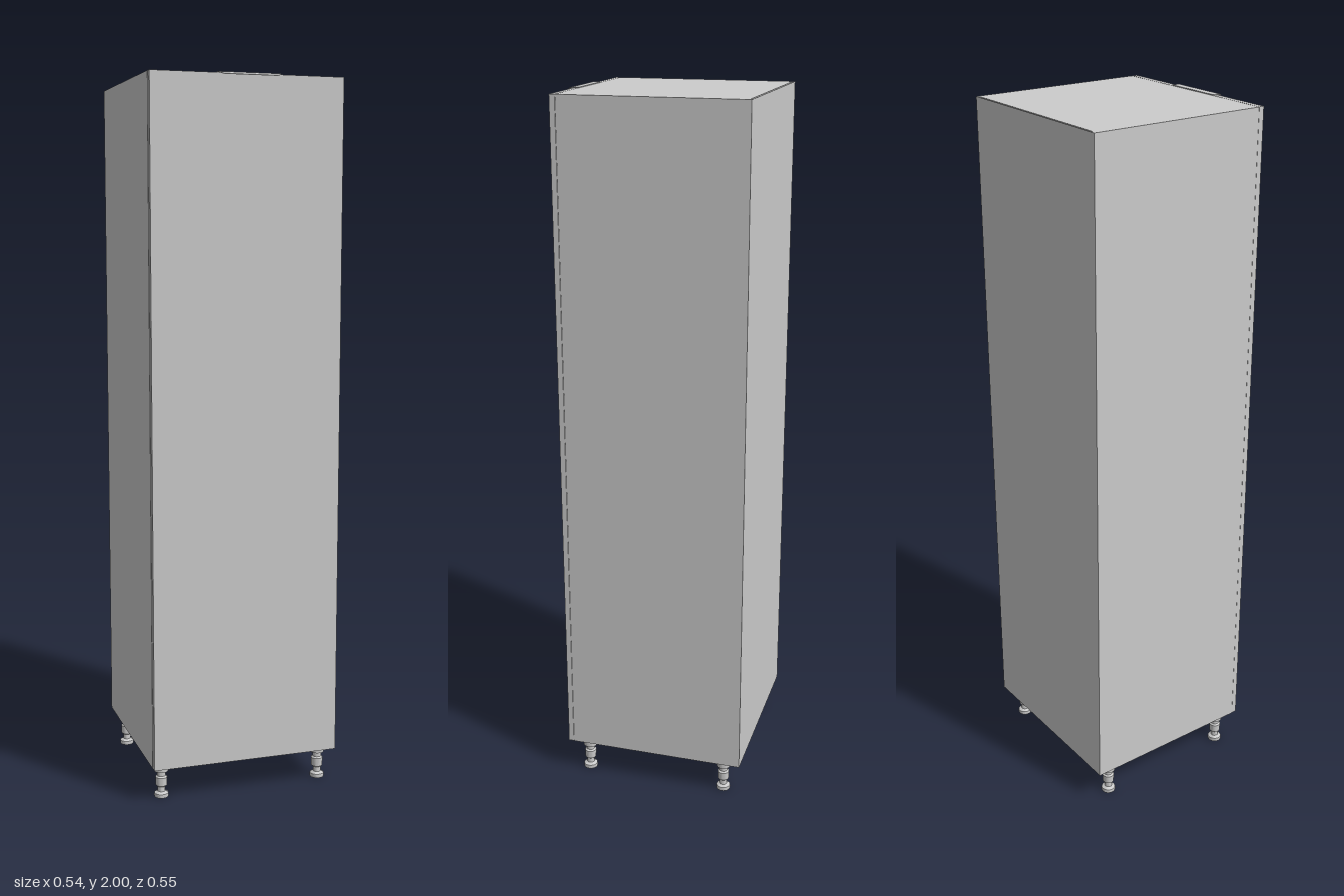
import * as THREE from 'three';
import { toCreasedNormals } from 'three/addons/utils/BufferGeometryUtils.js';

const W = 0.272, BACK = -0.275, BASE = 0.1, TOP = 1.998, T = 0.014;
const CARCASS_FRONT = 0.2365, DOOR_BACK = 0.238, DOOR_FRONT = 0.253;

export function createModel() {
  const group = new THREE.Group();
  const material = new THREE.MeshStandardMaterial({ color: 0xcccccc });

  const add = (name, geometry, parent = group) => {
    const mesh = new THREE.Mesh(geometry, material);
    mesh.name = name;
    parent.add(mesh);
    return mesh;
  };
  // Box given by its minimum and maximum corners
  const box = (name, x0, x1, y0, y1, z0, z1) =>
    add(name, new THREE.BoxGeometry(x1 - x0, y1 - y0, z1 - z0)
      .translate((x0 + x1) / 2, (y0 + y1) / 2, (z0 + z1) / 2));

  // Top and bottom boards with a narrow round-ended slot along the back
  const board = (name, y) => {
    const shape = new THREE.Shape();
    shape.moveTo(-W, -CARCASS_FRONT).lineTo(W, -CARCASS_FRONT).lineTo(W, -BACK).lineTo(-W, -BACK).closePath();
    const slot = new THREE.Path(), r = 0.0025, x = 0.2555, c = 0.2712;
    slot.absarc(x, c, r, Math.PI / 2, -Math.PI / 2, true);
    slot.absarc(-x, c, r, -Math.PI / 2, -Math.PI * 1.5, true);
    slot.closePath();
    shape.holes.push(slot);
    const geometry = new THREE.ExtrudeGeometry(shape, { depth: T, bevelEnabled: false, curveSegments: 6 });
    add(name, geometry.rotateX(-Math.PI / 2).translate(0, y, 0));
  };
  board('topPanel', TOP - T);
  board('bottomPanel', BASE);

  // Side panels, back panel and door
  box('rightSidePanel', -W, -W + T, BASE + T, TOP - T, BACK, CARCASS_FRONT);
  box('leftSidePanel', W - T, W, BASE + T, TOP - T, BACK, CARCASS_FRONT);
  box('backPanel', -W + T, W - T, BASE + T, TOP - T, BACK, BACK + 0.007);
  box('backPanelTongue', -0.2555, 0.2555, BASE + 0.003, TOP - 0.003, -0.2735, -0.269);
  box('door', -W + 0.001, W - 0.001, BASE, TOP, DOOR_BACK, DOOR_FRONT);

  // Edge pull: a thin plate on the door top, rounded at the corners, rolled down in front
  const plate = new THREE.BoxGeometry(2, 0.002, 1, 8, 1, 24);
  const p = plate.attributes.position, corner = 0.016, tip = 0.273;
  for (let i = 0; i < p.count; i++) {
    const z = DOOR_BACK + (tip - DOOR_BACK) * Math.sin((p.getZ(i) + 0.5) * Math.PI / 2);
    const c = Math.max(0, z - (tip - corner));
    const half = 0.087 - corner + Math.sqrt(Math.max(0, corner * corner - c * c));
    const drop = 0.006 * Math.pow(Math.max(0, z - 0.257) / corner, 2);
    p.setXYZ(i, p.getX(i) * half, 1.999 + p.getY(i) - drop, z);
  }
  plate.computeVertexNormals();
  add('handle', plate);

  // Adjustable legs: foot, threaded stem, nut and mounting collar
  const profile = [
    [0, 0], [0.02, 0], [0.021, 0.004], [0.02, 0.011], [0.011, 0.016], [0.011, 0.03],
    [0.016, 0.034], [0.017, 0.058], [0.012, 0.062], [0.012, 0.074],
    [0.02, 0.076], [0.021, BASE], [0, BASE],
  ].map(([r, y]) => new THREE.Vector2(r, y));
  const legGeometry = toCreasedNormals(new THREE.LatheGeometry(profile, 24), 0.5);
  const legs = new THREE.Group();
  legs.name = 'legs';
  group.add(legs);
  for (const x of [-0.237, 0.237])
    for (const z of [0.197, -0.22])
      add(`${z > 0 ? 'front' : 'back'}${x > 0 ? 'Left' : 'Right'}Leg`, legGeometry, legs).position.set(x, 0, z);

  return group;
}
